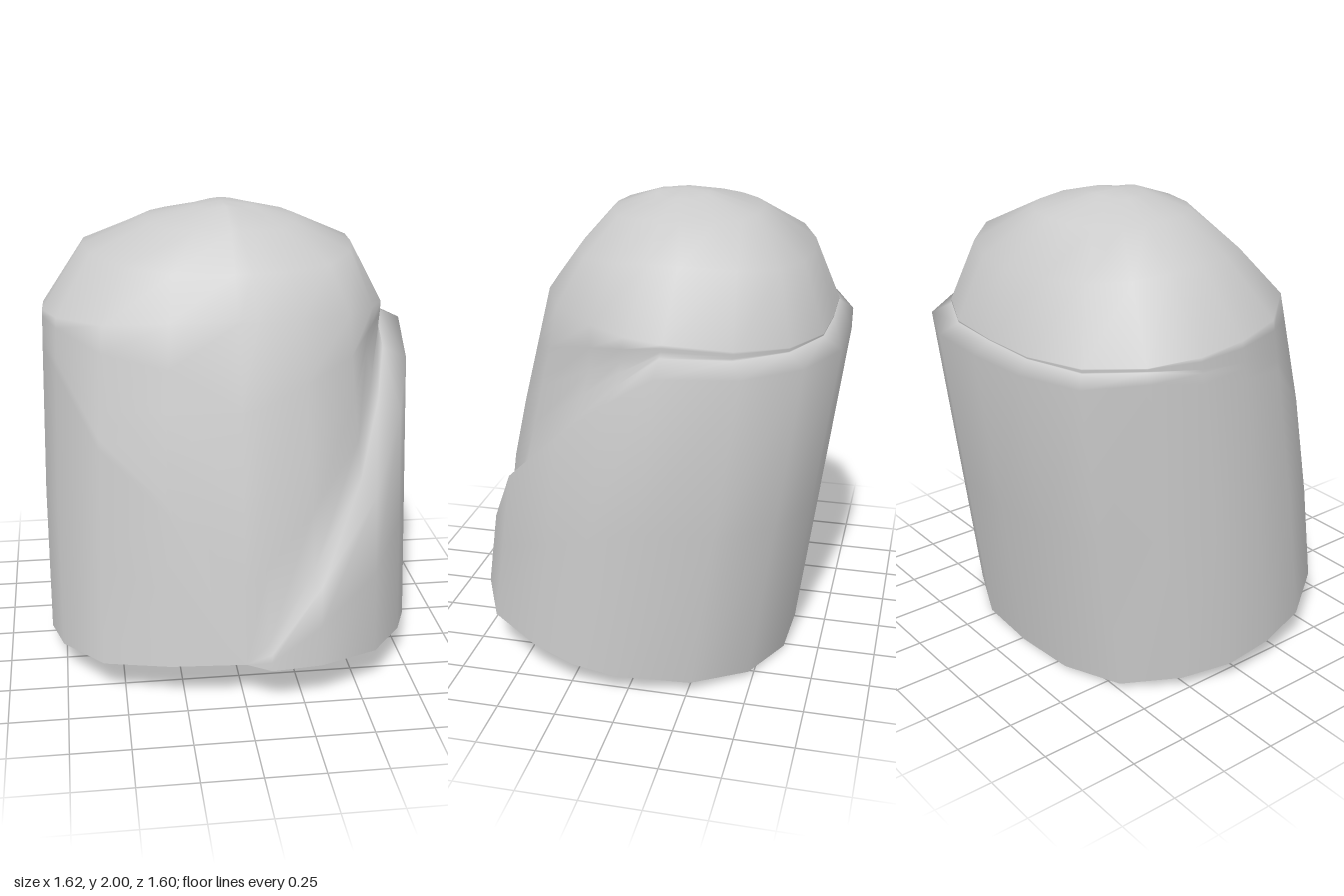
import * as THREE from 'three';
import { mergeVertices } from 'three/addons/utils/BufferGeometryUtils.js';

const { lerp, degToRad } = THREE.MathUtils;

// Column angles in degrees: 0 faces +z, 90 faces +x; the wrap ends at WRAP_END
const ANGLES = [0, 7, 22, 42, 63, 79, 94, 120, 141, 161, 181, 201, 220, 239,
  256, 273, 292, 315, 336, 360];
const WRAP_END = 239;

// Straight-line interpolation through [angle, value] pairs
function sample(table, a) {
  for (let i = 1; i < table.length; i++) {
    const [a0, v0] = table[i - 1], [a1, v1] = table[i];
    if (a <= a1) return lerp(v0, v1, (a - a0) / (a1 - a0));
  }
  return table[table.length - 1][1];
}

// Swelling of the outline beyond a plain ellipse
const SWELL = [[0, 1], [22, 1.035], [42, 1.055], [63, 1.01], [94, 1], [120, 1.03], [141, 1.065],
  [161, 1.05], [181, 1.01], [201, 1.05], [220, 1.1], [239, 1.05], [273, 1], [292, 1.01],
  [315, 1.055], [336, 1.03], [360, 1]];
// How far the hood sits inside the wrap
const INSET = [[0, 0.06], [22, 0.065], [42, 0.08], [63, 0.085], [94, 0.095], [120, 0.085],
  [181, 0.067], [220, 0.045], [239, 0], [292, 0], [315, 0.02], [336, 0.06], [360, 0.06]];
// Height of the wrap's edge; past its end the same row runs on through the hood
const EDGE = [[0, 0.2], [7, 0.27], [22, 0.53], [42, 0.86], [63, 1.13], [79, 1.31], [94, 1.44],
  [120, 1.43], [220, 1.43], [239, 1.45], [292, 1.35], [336, 0.85], [360, 0.2]];

// Dome rings: front z, back z, right x, left x, y at front, side and back
const RINGS = [
  [0.35, -0.63, 0.56, 0.61, 1.78, 1.82, 1.76],
  [0.22, -0.41, 0.31, 0.34, 1.93, 1.935, 1.93],
  [0.04, -0.18, 0.13, 0.13, 1.995, 1.985, 1.995],
];

// Leaning, slightly squared tube with an optional inset
function tube(deg, y, inset = 0) {
  const t = degToRad(deg), k = sample(SWELL, deg);
  return new THREE.Vector3((0.812 * k - inset) * Math.sin(t), y,
    0.113 - 0.133 * y + (0.715 * k - inset) * Math.cos(t));
}

// Hood wall: narrows upward, most of all at the front
function hoodWall(deg, y, pinch = 0) {
  const lean = Math.max(0, y - 0.9) * Math.max(0.03, 0.12 * Math.cos(degToRad(deg)));
  return tube(deg, y, sample(INSET, deg) + lean + pinch);
}

function domePoint([zf, zb, xr, xl, yf, ys, yb], deg) {
  const s = Math.sin(degToRad(deg)), c = Math.cos(degToRad(deg));
  const k = 1 + (s > 0 && c > 0 ? 0.09 : 0.05) * (2 * s * c) ** 2;
  const mid = (zf + zb) / 2, half = (zf - zb) / 2;
  const y = lerp(ys, c > 0 ? yf : yb, c * c) - (k - 1) * 0.15;
  return new THREE.Vector3((s > 0 ? xr : xl) * s * k, y, mid + half * c * k);
}

// One column from the base over the wrap's edge and lip, up the hood to the crown
function column(deg) {
  const cos = Math.cos(degToRad(deg));
  const base = 0.1005 + 0.0996 * cos; // the open base is a tilted plane
  const edge = sample(EDGE, deg);
  const lip = edge + 0.045 * Math.min(1, deg / 22, (360 - deg) / 22);
  const top = 1.545 + 0.065 * cos;

  // outer wrap, or the bare hood where the wrap is absent
  const wall = deg === 0 || deg > WRAP_END ? hoodWall : tube;
  const pts = [base, lerp(base, edge, 0.5), edge].map((y) => wall(deg, y));

  // hood from the lip, hollowed a little beside the diagonal edge
  for (let j = 0; j <= 4; j++) {
    const y = lerp(lip, top, j / 4);
    const hollow = 0.045 * Math.exp(-(((deg - 66) / 16) ** 2) - ((y - 1.38) / 0.14) ** 2);
    pts.push(hoodWall(deg, y, j > 0 ? hollow : 0));
  }
  RINGS.forEach((r) => pts.push(domePoint(r, deg)));
  pts.push(new THREE.Vector3(-0.01, 2, -0.07));
  return pts;
}

export function createModel() {
  const group = new THREE.Group();
  group.name = 'wrappedHood';

  // Skin the columns into one smooth open shell
  const cols = ANGLES.map(column);
  const rows = cols[0].length, index = [];
  for (let i = 0; i < cols.length - 1; i++) {
    for (let j = 0; j < rows - 1; j++) {
      const a = i * rows + j, b = a + rows;
      index.push(a, b, b + 1, a, b + 1, a + 1);
    }
  }
  const sheet = new THREE.BufferGeometry().setFromPoints(cols.flat());
  sheet.setIndex(index);
  const skin = mergeVertices(sheet, 1e-4);
  skin.computeVertexNormals();

  const mesh = new THREE.Mesh(skin,
    new THREE.MeshStandardMaterial({ color: 0xcccccc, side: THREE.DoubleSide }));
  mesh.name = 'hoodAndWrap';
  group.add(mesh);
  return group;
}
